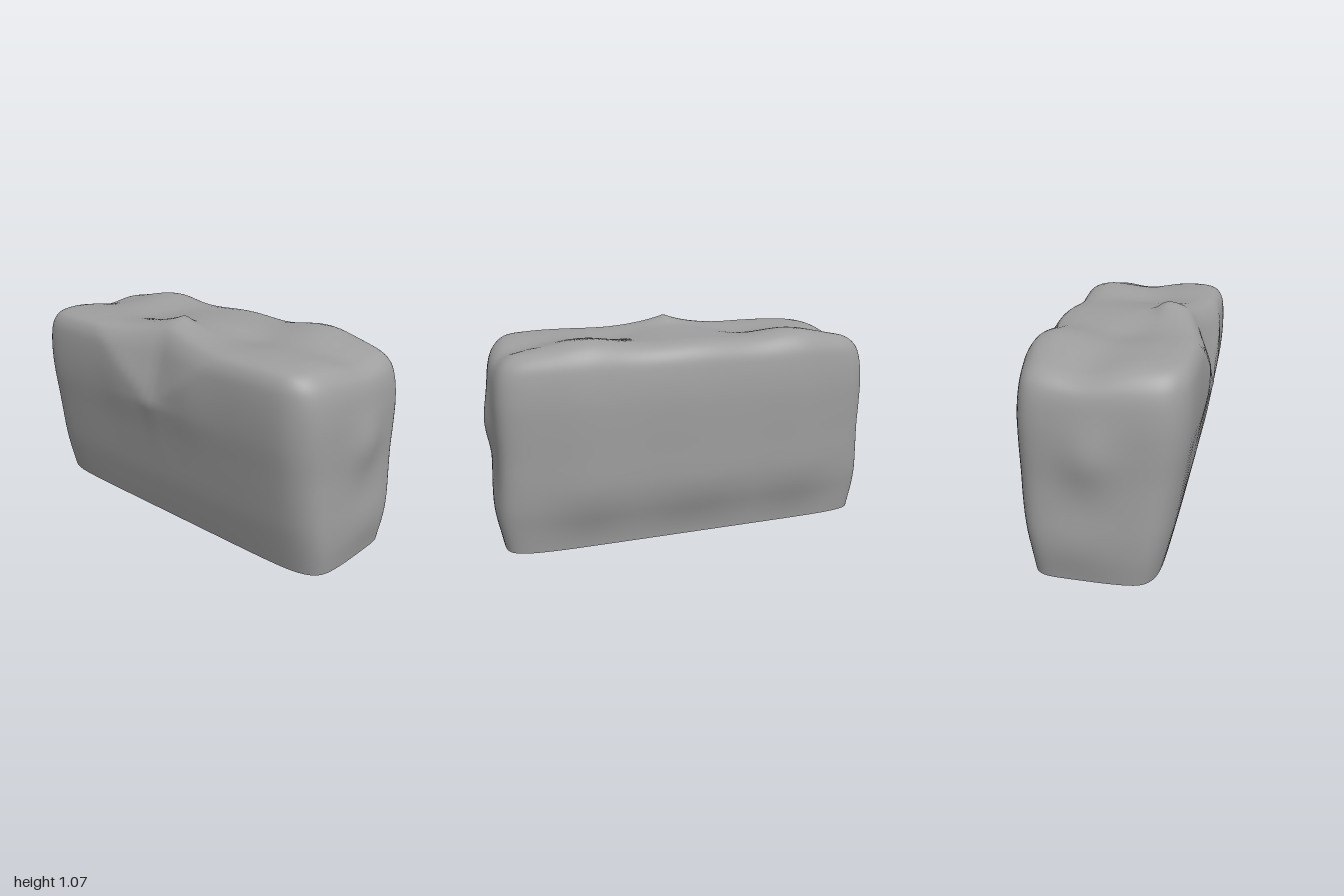
import * as THREE from 'three';

const { clamp, smoothstep } = THREE.MathUtils;
const bell = (d, w) => Math.exp(-(d * d) / (w * w));

// Wall profile rows: height, half width, front depth, back depth
const PROFILE = [
  [0, 0.95, 0.278, 0.325], [0.12, 0.965, 0.307, 0.34], [0.24, 0.97, 0.334, 0.358],
  [0.37, 0.968, 0.356, 0.368], [0.5, 0.966, 0.376, 0.372], [0.64, 0.97, 0.397, 0.376],
  [0.76, 0.97, 0.406, 0.376], [0.87, 0.958, 0.405, 0.366], [0.94, 0.93, 0.394, 0.348],
  [0.985, 0.875, 0.362, 0.305], [1.0, 0.79, 0.30, 0.24],
];

function profileAt(t) {
  const f = t * (PROFILE.length - 1);
  const i = Math.min(Math.floor(f), PROFILE.length - 2);
  const row = k => PROFILE[clamp(k, 0, PROFILE.length - 1)];
  const u = f - i;
  return [0, 1, 2, 3].map(k => {
    const p0 = row(i - 1)[k], p1 = row(i)[k], p2 = row(i + 1)[k], p3 = row(i + 2)[k];
    const m1 = (p2 - p0) / 2, m2 = (p3 - p1) / 2;
    return p1 + u * (m1 + u * (3 * (p2 - p1) - 2 * m1 - m2 + u * (2 * (p1 - p2) + m1 + m2)));
  });
}

// Unit rounded rectangle, evenly walked along its square perimeter
function outline(sides, power) {
  const pts = [];
  for (let i = 0; i < sides; i++) {
    const f = (i / sides) * 4, q = Math.floor(f), s = (f - q) * 2 - 1;
    const [x, z] = [[1, s], [-s, 1], [-1, -s], [s, -1]][q];
    const k = Math.pow(Math.abs(x) ** power + Math.abs(z) ** power, -1 / power);
    pts.push([x * k, z * k]);
  }
  return pts;
}

// Lumps, hollows and the nose-like ridge, mirrored about x = 0
function sculpt(x, y, z) {
  const ax = Math.abs(x);
  const p = new THREE.Vector3(x, y, z);
  const front = smoothstep(z, 0.05, 0.3);
  const back = smoothstep(-z, 0.05, 0.3);
  const top = smoothstep(y, 0.82, 1);
  const mid = smoothstep(y, 0, 0.36);

  // Front: a fan-shaped brow slopes back above a small pointed tip
  p.z -= front * 0.27 * Math.max(0, y - 0.66 - 0.75 * ax);
  p.z += front * 0.02 * Math.exp(-ax / 0.13 - Math.abs(y - 0.66) / 0.12);
  p.z += front * 0.01 * bell(ax - 0.25, 0.14) * bell(y - 0.76, 0.2);

  // Back: bowed, with faint vertical swells
  p.z -= back * mid * (0.05 * bell(x, 0.34) + 0.04 * bell(ax - 0.55, 0.2));

  // Ends: taper toward the front, small outward lump
  const end = smoothstep(ax, 0.75, 0.95) * Math.sign(x);
  p.x -= end * 0.3 * Math.max(0, z) ** 2;
  p.x += end * 0.03 * bell(y - 0.61, 0.14) * bell(z + 0.02, 0.12);
  p.x += end * 0.014 * bell(y - 0.2, 0.14) * bell(z + 0.1, 0.18);

  // Top: centre peak, two rear humps and shallow hollows
  p.y += top * (0.018 * bell(x, 0.25)
    + 0.055 * Math.exp(-ax / 0.14) * bell(z - 0.27, 0.14)
    + 0.04 * bell(ax - 0.52, 0.19) * bell(z + 0.23, 0.15)
    + 0.01 * bell(ax - 0.6, 0.25) * bell(z - 0.2, 0.15)
    - 0.02 * bell(ax - 0.36, 0.16) * bell(z - 0.03, 0.18)
    - 0.03 * bell(ax - 0.86, 0.16) * bell(z + 0.06, 0.14));

  // Base rim rises slightly toward the back
  p.y += 0.014 * clamp((0.28 - z) / 0.6, 0, 1) * bell(y, 0.15);
  return p;
}

function blockGeometry() {
  const sides = 160, wallRows = 50, capRows = 26;
  const ring = outline(sides, 8);
  const pos = [], index = [];

  // Walls, then rings closing over the top
  const rows = wallRows + capRows;
  for (let r = 0; r < rows; r++) {
    const [y, w, f, b] = profileAt(Math.min(r / wallRows, 1));
    const s = r <= wallRows ? 1 : 1 - (r - wallRows) / capRows;
    const zc = (f - b) / 2, zh = (f + b) / 2;
    const yy = y + 0.008 * (1 - s);
    for (const [x, z] of ring) pos.push(...sculpt(x * w * s, yy, zc + z * zh * s));
  }
  for (let r = 0; r < rows - 1; r++) {
    for (let i = 0; i < sides; i++) {
      const a = r * sides + i, b = r * sides + (i + 1) % sides;
      index.push(a, a + sides, b, b, a + sides, b + sides);
    }
  }
  // Centre of the top
  pos.push(...sculpt(0, 1.008, 0.03));
  for (let i = 0; i < sides; i++) {
    index.push((rows - 1) * sides + i, rows * sides, (rows - 1) * sides + (i + 1) % sides);
  }

  const geo = new THREE.BufferGeometry();
  geo.setAttribute('position', new THREE.Float32BufferAttribute(pos, 3));
  geo.setIndex(index);
  geo.computeVertexNormals();
  return geo;
}

export function createModel() {
  const group = new THREE.Group();
  group.name = 'stoneBlock';
  // Open underneath, so the inside shows too
  const shell = new THREE.Mesh(blockGeometry(),
    new THREE.MeshStandardMaterial({ color: 0x9e9e9e, side: THREE.DoubleSide }));
  shell.name = 'blockShell';
  group.add(shell);
  return group;
}
